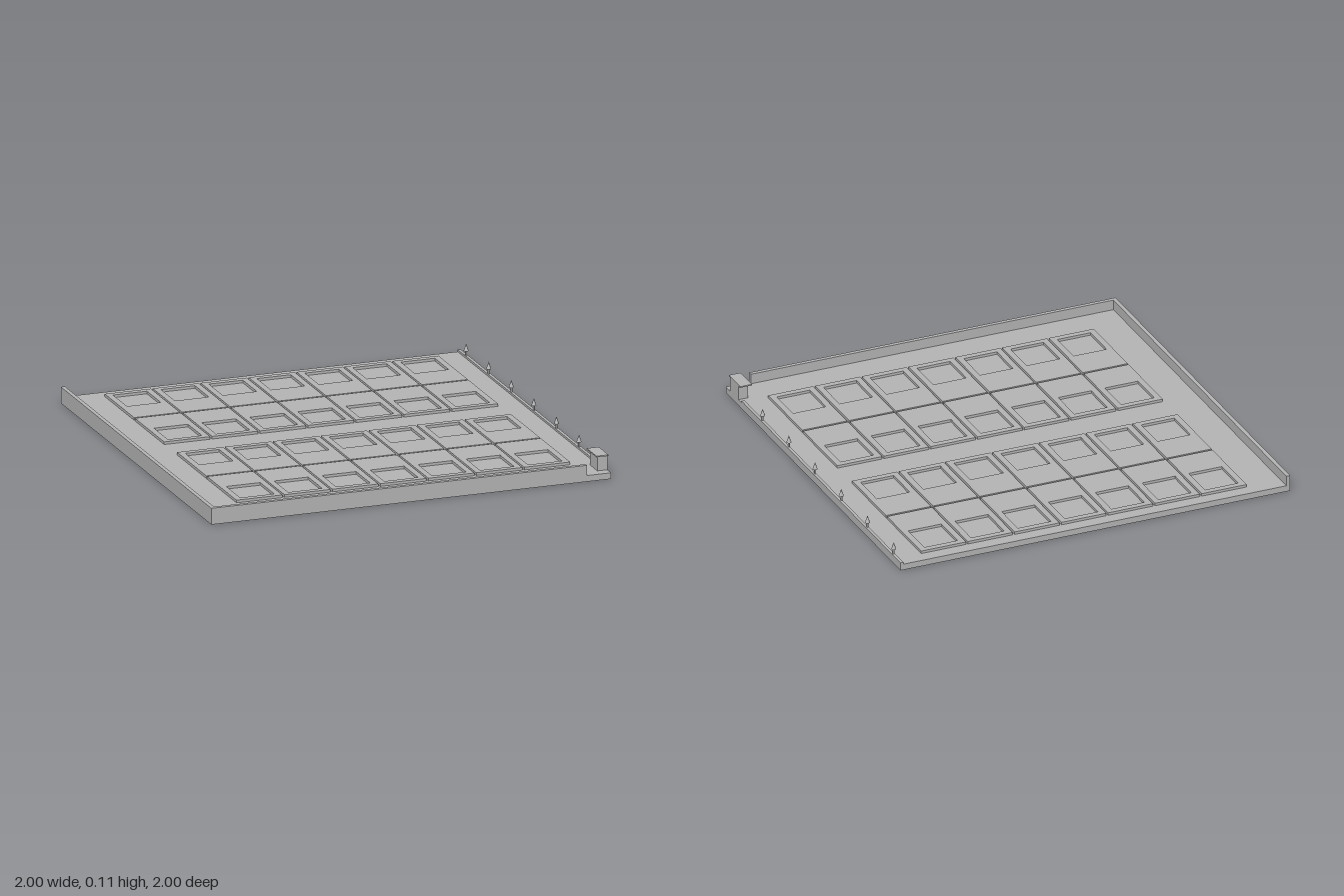
import * as THREE from 'three';

export function createModel() {
  const group = new THREE.Group();
  const grey = new THREE.MeshStandardMaterial({ color: 0xb2b2b2 });
  grey.name = 'concrete grey';

  const add = (name, geometry, parent = group) => {
    const mesh = new THREE.Mesh(geometry, grey);
    mesh.name = name;
    parent.add(mesh);
    return mesh;
  };
  // Box given by its minimum and maximum corners
  const box = (name, x0, x1, y0, y1, z0, z1, parent = group) => {
    const mesh = add(name, new THREE.BoxGeometry(x1 - x0, y1 - y0, z1 - z0), parent);
    mesh.position.set((x0 + x1) / 2, (y0 + y1) / 2, (z0 + z1) / 2);
    return mesh;
  };

  // Ground slab, boundary walls and the low kerb on the open side
  box('groundSlab', -1, 1, 0, 0.03, -1, 1);
  box('sideWall', -1, -0.98, 0.03, 0.08, -1, 1);
  box('frontWall', -0.98, 0.88, 0.03, 0.08, 0.98, 1);
  box('kerb', 0.985, 1, 0.03, 0.04, -1, 0.82);

  // One plot: a thin raised plate with a sunken rectangular bay near its outer end
  const w = 0.23, d = 0.39, h = 0.013;
  const outline = new THREE.Shape();
  outline.moveTo(-w / 2, -d / 2);
  outline.lineTo(w / 2, -d / 2);
  outline.lineTo(w / 2, d / 2);
  outline.lineTo(-w / 2, d / 2);
  outline.closePath();
  const bay = new THREE.Path();
  bay.moveTo(-0.085, -0.165);
  bay.lineTo(-0.085, 0.02);
  bay.lineTo(0.085, 0.02);
  bay.lineTo(0.085, -0.165);
  bay.closePath();
  outline.holes.push(bay);
  const plotGeometry = new THREE.ExtrudeGeometry(outline, { depth: h, bevelEnabled: false });
  plotGeometry.rotateX(-Math.PI / 2);

  // Two blocks of two rows, the bays facing away from the block's middle line
  const plots = new THREE.Group();
  plots.name = 'plots';
  group.add(plots);
  for (const blockZ of [-0.54, 0.42]) {
    for (const side of [-1, 1]) {
      for (let i = 0; i < 7; i++) {
        const plot = add('plot', plotGeometry, plots);
        plot.position.set(-0.69 + i * 0.24, 0.03, blockZ + side * 0.2);
        if (side < 0) plot.rotation.y = Math.PI;
      }
    }
  }

  // Gatehouse with a thin overhanging roof
  const gatehouse = new THREE.Group();
  gatehouse.name = 'gatehouse';
  group.add(gatehouse);
  box('gatehouseBody', 0.95, 1, 0.03, 0.102, 0.855, 0.95, gatehouse);
  box('gatehouseRoof', 0.94, 1, 0.102, 0.108, 0.835, 0.965, gatehouse);

  // Row of small trees along the kerb
  for (let i = 0; i < 6; i++) {
    const tree = new THREE.Group();
    tree.name = 'tree';
    tree.position.set(0.99, 0.04, 0.6 - i * 0.3);
    const trunk = add('trunk', new THREE.CylinderGeometry(0.005, 0.005, 0.025, 8), tree);
    trunk.position.y = 0.0125;
    const crown = add('crown', new THREE.ConeGeometry(0.012, 0.036, 10), tree);
    crown.position.y = 0.042;
    group.add(tree);
  }

  return group;
}
